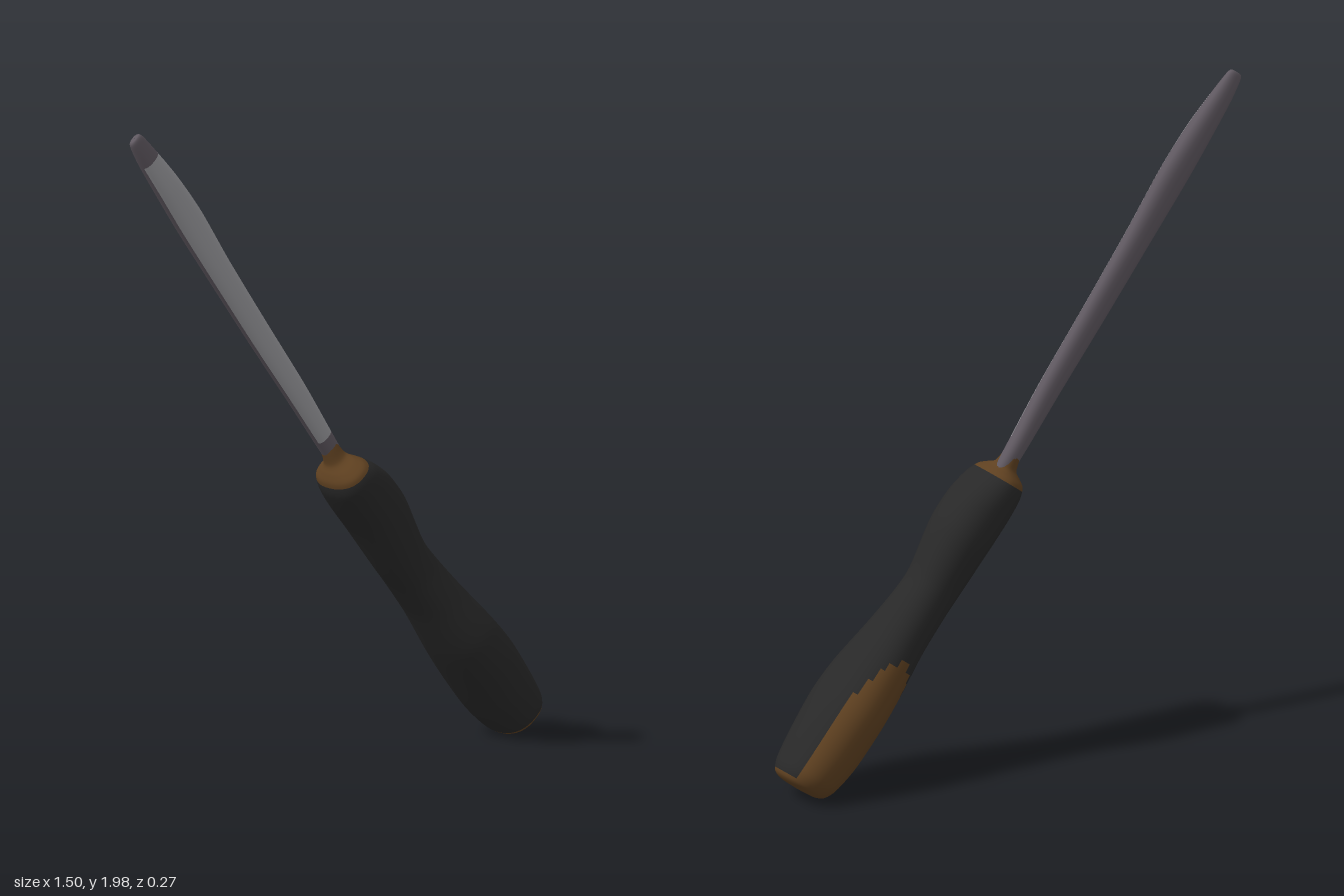
import * as THREE from 'three';

const mat = (name, color) => {
  const m = new THREE.MeshStandardMaterial({ color });
  m.name = name;
  return m;
};

// Tool axis: origin at the butt, U runs towards the tip, N lies across it in the xy plane
const ORIGIN = new THREE.Vector3(0.69, 0.055, 0);
const U = new THREE.Vector3(-0.605, 0.796, 0);
const N = new THREE.Vector3(0.796, 0.605, 0);

// Smooth loft through stations [along, across, z, halfWidth, halfDepth];
// pick(along, angle) returns the material index of each face
function loft(name, stations, rings, sides, power, materials, pick) {
  const curve = (f) => new THREE.CatmullRomCurve3(stations.map(f), false, 'catmullrom', 0.4);
  const centre = curve((p) => new THREE.Vector3(p[0], p[1], p[2]));
  const size = curve((p) => new THREE.Vector3(p[3], p[4], 0));
  const pos = [], along = [], faces = materials.map(() => []);
  const bulge = (v) => Math.sign(v) * Math.abs(v) ** power;
  for (let j = 0; j <= rings; j++) {
    const c = centre.getPoint(j / rings), h = size.getPoint(j / rings);
    along.push(c.x);
    for (let i = 0; i < sides; i++) {
      const a = (i / sides) * Math.PI * 2;
      const p = ORIGIN.clone().addScaledVector(U, c.x)
        .addScaledVector(N, c.y + h.x * bulge(Math.cos(a)));
      pos.push(p.x, p.y, c.z + h.y * bulge(Math.sin(a)));
    }
  }
  for (let j = 0; j < rings; j++) {
    for (let i = 0; i < sides; i++) {
      const k = (i + 1) % sides, a = j * sides + i, b = j * sides + k;
      const c = a + sides, d = b + sides;
      const angle = ((i + 0.5) / sides) * Math.PI * 2;
      faces[pick((along[j] + along[j + 1]) / 2, angle)].push(a, c, b, b, c, d);
    }
  }
  const geo = new THREE.BufferGeometry();
  geo.setAttribute('position', new THREE.Float32BufferAttribute(pos, 3));
  geo.setIndex(faces.flat());
  let start = 0;
  faces.forEach((f, m) => {
    geo.addGroup(start, f.length, m);
    start += f.length;
  });
  geo.computeVertexNormals();
  const mesh = new THREE.Mesh(geo, materials);
  mesh.name = name;
  return mesh;
}

export function createModel() {
  const grip = mat('black grip', 0x282828);
  const wood = mat('brown core', 0x5e4020);
  const steel = mat('bright steel', 0x9a9a9e);
  const darkSteel = mat('dark steel', 0x5f5860);

  const group = new THREE.Group();
  group.name = 'screwdriver';

  // Waisted handle: brown butt, collar and oval back inlay
  group.add(loft('handle', [
    [-0.015, 0, 0.02, 0.001, 0.001],
    [-0.012, 0, 0.02, 0.05, 0.05],
    [0, 0.002, 0.017, 0.075, 0.08],
    [0.035, 0.002, 0.013, 0.088, 0.1],
    [0.12, -0.003, 0.012, 0.097, 0.115],
    [0.25, -0.004, 0.01, 0.098, 0.126],
    [0.36, -0.008, 0.007, 0.092, 0.121],
    [0.5, -0.01, -0.008, 0.08, 0.098],
    [0.62, -0.014, -0.021, 0.076, 0.083],
    [0.7, -0.015, -0.027, 0.077, 0.081],
    [0.85, 0, -0.037, 0.09, 0.095],
    [0.95, -0.006, -0.036, 0.09, 0.096],
    [1.02, -0.018, -0.033, 0.077, 0.094],
    [1.058, -0.022, -0.035, 0.06, 0.084],
    [1.075, -0.018, -0.04, 0.045, 0.06],
    [1.09, -0.008, -0.052, 0.032, 0.034],
    [1.13, 0, -0.06, 0.024, 0.024],
  ], 96, 40, 0.85, [grip, wood], (s, a) => {
    if (s < 0.008 || s > 1.045) return 1;
    const reach = Math.max(0, (s - 0.2) / 0.25);
    return reach ** 2 + ((a - Math.PI * 1.5) / 0.95) ** 2 < 1 ? 1 : 0;
  }));

  // Slightly bent shaft widening to a flattened tip, bright along its front
  group.add(loft('shaft', [
    [1.06, -0.002, -0.058, 0.026, 0.022],
    [1.17, 0.002, -0.062, 0.03, 0.025],
    [1.35, 0.008, -0.065, 0.036, 0.025],
    [1.6, 0.012, -0.072, 0.04, 0.025],
    [1.85, 0.019, -0.08, 0.043, 0.027],
    [2.05, 0.03, -0.09, 0.048, 0.029],
    [2.2, 0.032, -0.094, 0.043, 0.029],
    [2.32, 0.031, -0.1, 0.034, 0.022],
    [2.385, 0.031, -0.102, 0.026, 0.014],
    [2.4, 0.031, -0.102, 0.018, 0.009],
    [2.402, 0.031, -0.102, 0.001, 0.001],
  ], 80, 20, 0.85, [steel, darkSteel],
  (s, a) => (Math.sin(a) > 0.4 && s > 1.17 && s < 2.31 ? 0 : 1)));

  return group;
}
